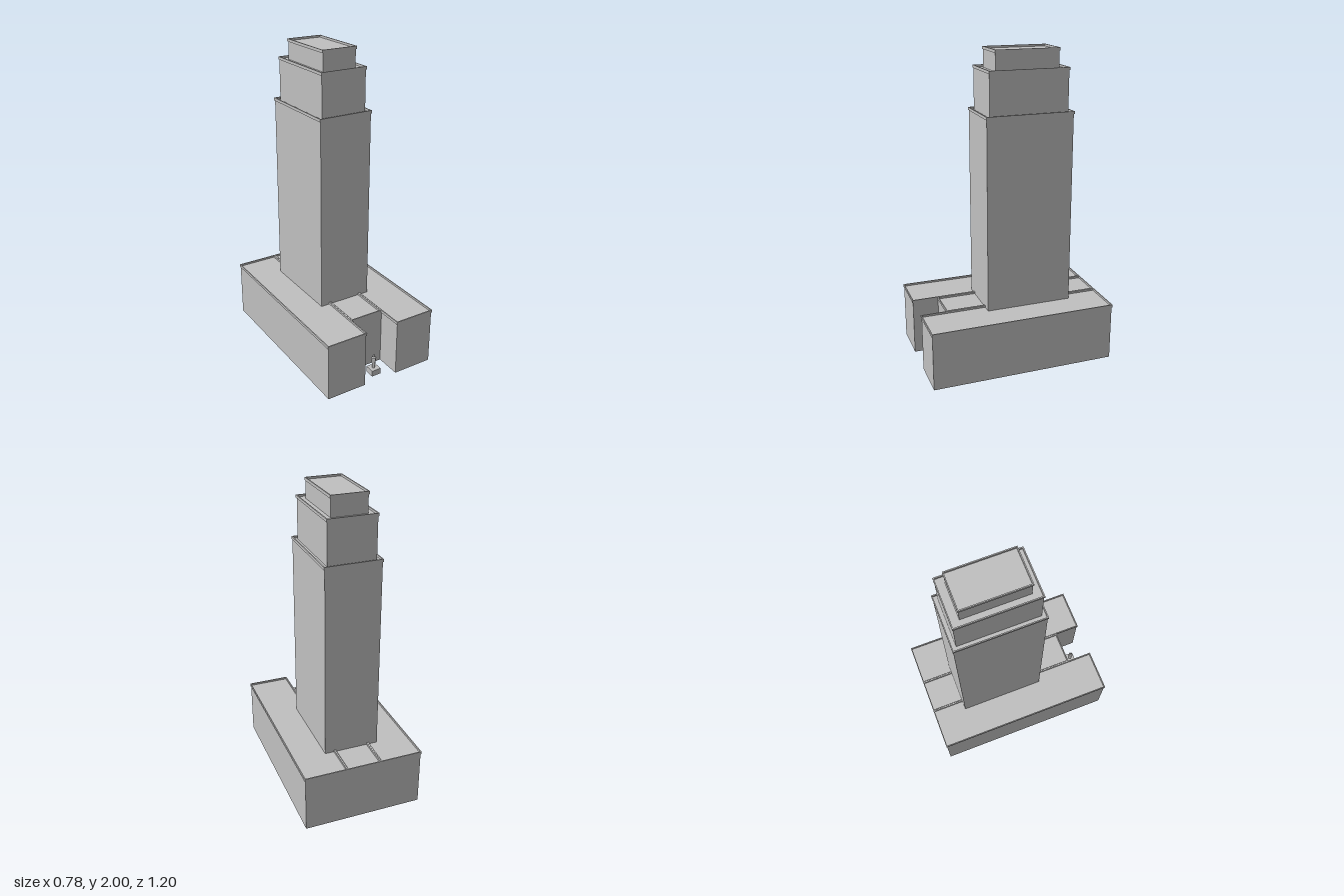
import * as THREE from 'three';

const stone = new THREE.MeshStandardMaterial({ color: 0xc0c0c0, side: THREE.DoubleSide, flatShading: true });
stone.name = 'grey stone';

// Box given by its limits, without a floor
function openBox(x0, x1, y0, y1, z0, z1) {
  const g = new THREE.BoxGeometry(x1 - x0, y1 - y0, z1 - z0);
  const index = Array.from(g.index.array);
  index.splice(18, 6);
  g.setIndex(index);
  g.clearGroups();
  g.translate((x0 + x1) / 2, (y0 + y1) / 2, (z0 + z1) / 2);
  return g;
}

// Low parapet frame around a roof
function parapet(x0, x1, z0, z1, top, height, thick) {
  const rect = (Type, a, b, c, d) => new Type([
    new THREE.Vector2(a, c), new THREE.Vector2(b, c), new THREE.Vector2(b, d), new THREE.Vector2(a, d),
  ]);
  const shape = rect(THREE.Shape, x0, x1, -z1, -z0);
  shape.holes.push(rect(THREE.Path, x0 + thick, x1 - thick, -z1 + thick, -z0 - thick));
  const g = new THREE.ExtrudeGeometry(shape, { depth: height, bevelEnabled: false });
  g.rotateX(-Math.PI / 2);
  g.translate(0, top - height, 0);
  return g;
}

export function createModel() {
  const model = new THREE.Group();
  model.name = 'tower';

  const add = (name, geometry, parent = model) => {
    const mesh = new THREE.Mesh(geometry, stone);
    mesh.name = name;
    parent.add(mesh);
  };

  // A block with a recessed roof and slightly overhanging parapet
  const block = (name, x0, x1, y0, y1, z0, z1, overX = 0.005) => {
    const group = new THREE.Group();
    group.name = name;
    add(name + 'Walls', openBox(x0, x1, y0, y1 - 0.013, z0, z1), group);
    add(name + 'Parapet', parapet(x0 - overX, x1 + overX, z0 - 0.004, z1 + 0.004, y1, 0.018, 0.007), group);
    model.add(group);
  };

  // Base: two wings and a recessed entrance block
  block('leftWing', 0.117, 0.384, 0, 0.38, -0.598, 0.597);
  block('rightWing', -0.384, -0.117, 0, 0.38, -0.598, 0.597);
  block('entranceBlock', -0.117, 0.117, 0, 0.38, -0.598, 0.428, -0.006);

  // Stepped tower
  block('mainTower', -0.177, 0.177, 0.367, 1.62, -0.386, 0.176);
  block('upperTower', -0.152, 0.152, 1.607, 1.885, -0.36, 0.15);
  block('penthouse', -0.113, 0.113, 1.872, 2, -0.31, 0.099);

  // Statue on its plinth in the forecourt
  const statue = new THREE.Group();
  statue.name = 'statue';
  statue.position.z = 0.52;
  add('plinth', openBox(-0.032, 0.032, 0, 0.04, -0.032, 0.032), statue);
  const profile = [[0.011, 0.04], [0.014, 0.075], [0.02, 0.11], [0.018, 0.115], [0.005, 0.119]]
    .map(([r, y]) => new THREE.Vector2(r, y));
  add('figureBody', new THREE.LatheGeometry(profile, 4), statue);
  const head = new THREE.SphereGeometry(0.01, 4, 3);
  head.translate(0, 0.126, 0);
  add('figureHead', head, statue);
  model.add(statue);

  return model;
}
